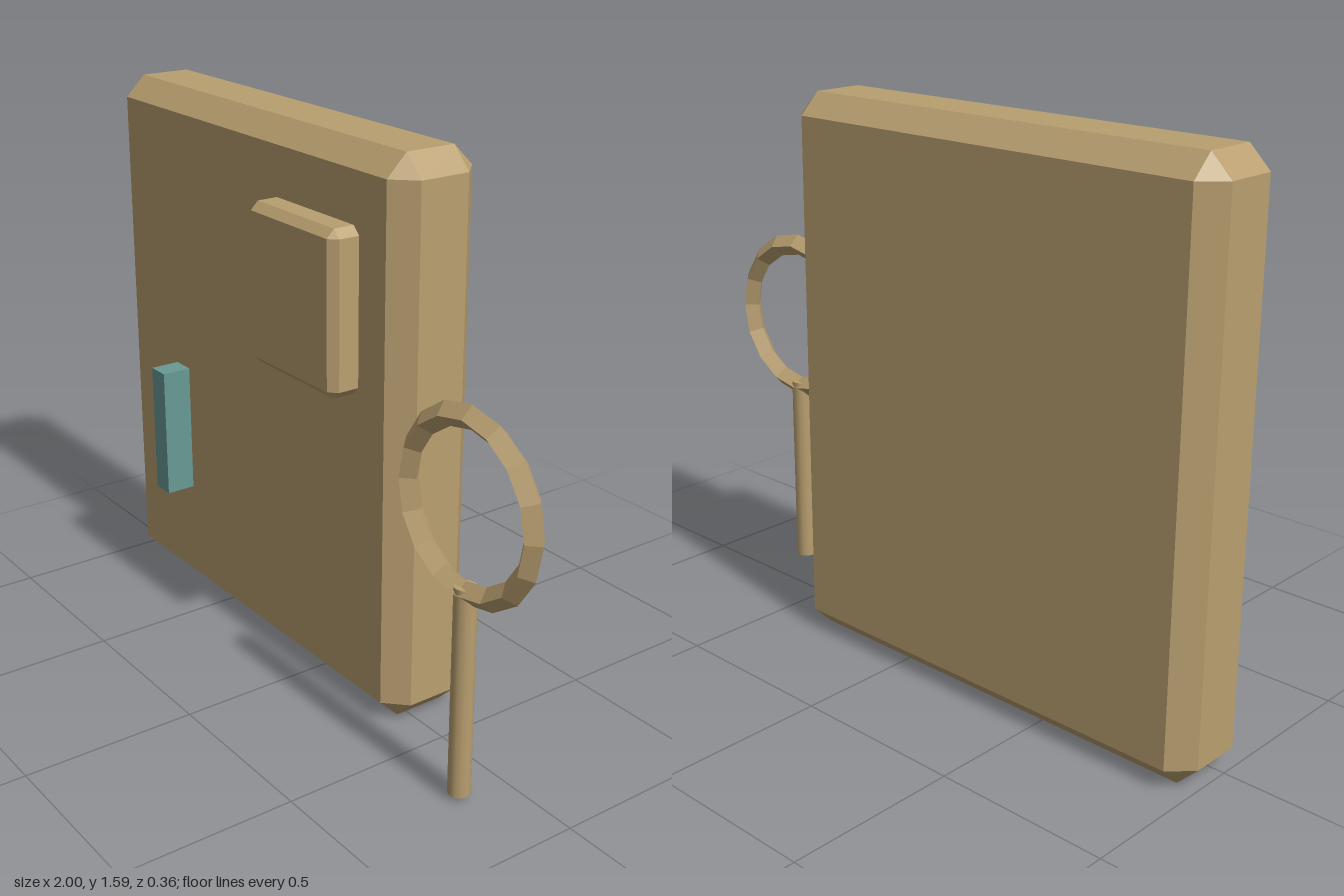
import * as THREE from 'three';
import { ConvexGeometry } from 'three/addons/geometries/ConvexGeometry.js';

// Box with every edge and corner cut flat
function chamferBox(w, h, d, c) {
  const points = [];
  for (const sx of [-1, 1]) for (const sy of [-1, 1]) for (const sz of [-1, 1]) {
    const x = w / 2, y = h / 2, z = d / 2;
    points.push(
      new THREE.Vector3(sx * x, sy * (y - c), sz * (z - c)),
      new THREE.Vector3(sx * (x - c), sy * y, sz * (z - c)),
      new THREE.Vector3(sx * (x - c), sy * (y - c), sz * z));
  }
  return new ConvexGeometry(points);
}

export function createModel() {
  const group = new THREE.Group();
  const tan = new THREE.MeshStandardMaterial({ color: 0xb99f70 });
  tan.name = 'tan';
  const tanFlat = tan;
  const teal = new THREE.MeshStandardMaterial({ color: 0x689a94 });
  teal.name = 'teal';

  const add = (name, geometry, material, x, y, z) => {
    const mesh = new THREE.Mesh(geometry, material);
    mesh.name = name;
    mesh.position.set(x, y, z);
    group.add(mesh);
    return mesh;
  };

  // Large upright slab with a smaller raised plate
  add('panel', chamferBox(1.4, 1.59, 0.27, 0.06), tan, -0.3, 0.795, -0.044);
  add('raisedPlate', chamferBox(0.39, 0.455, 0.14, 0.023), tan, 0.035, 1.16, 0.105);

  // Teal bar standing out from the slab
  add('bar', new THREE.BoxGeometry(0.07, 0.395, 0.12), teal, -0.665, 0.553, 0.12);

  // Faceted ring on a thin handle
  const ring = new THREE.TorusGeometry(0.23, 0.032, 4, 16).toNonIndexed();
  ring.computeVertexNormals();
  add('ring', ring, tanFlat, 0.735, 0.822, 0.139);
  add('handle', new THREE.CylinderGeometry(0.031, 0.031, 0.595, 12), tan, 0.735, 0.313, 0.139);

  return group;
}
